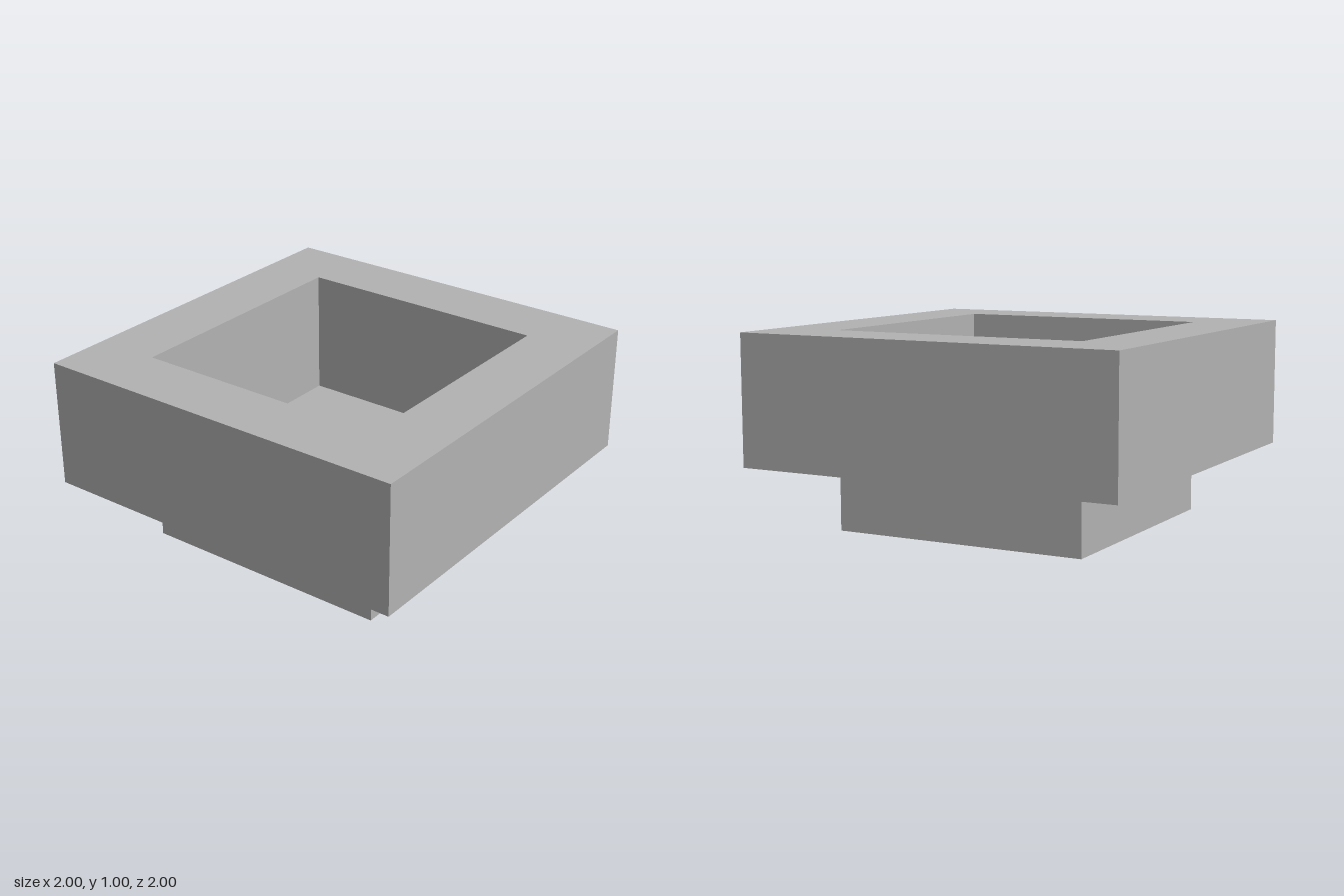
import * as THREE from 'three';

// Square outline centred on the origin
function square(PathType, half) {
  const p = new PathType();
  p.moveTo(-half, -half);
  p.lineTo(half, -half);
  p.lineTo(half, half);
  p.lineTo(-half, half);
  p.closePath();
  return p;
}

export function createModel() {
  const OUTER = 1, INNER = 0.665, STEP = 0.34, TOP = 1;
  const grey = new THREE.MeshStandardMaterial({ color: 0xb2b2b2 });
  grey.name = 'grey';

  const model = new THREE.Group();
  model.name = 'squarePlanter';

  // Base block, whose top is the floor of the recess
  const base = new THREE.Mesh(new THREE.BoxGeometry(2 * INNER, STEP, 2 * INNER), grey);
  base.name = 'base';
  base.position.y = STEP / 2;
  model.add(base);

  // Thick square rim with an open centre
  const outline = square(THREE.Shape, OUTER);
  outline.holes.push(square(THREE.Path, INNER));
  const rimGeometry = new THREE.ExtrudeGeometry(outline, { depth: TOP - STEP, bevelEnabled: false });
  rimGeometry.rotateX(-Math.PI / 2);
  const rim = new THREE.Mesh(rimGeometry, grey);
  rim.name = 'rim';
  rim.position.y = STEP;
  model.add(rim);

  return model;
}
